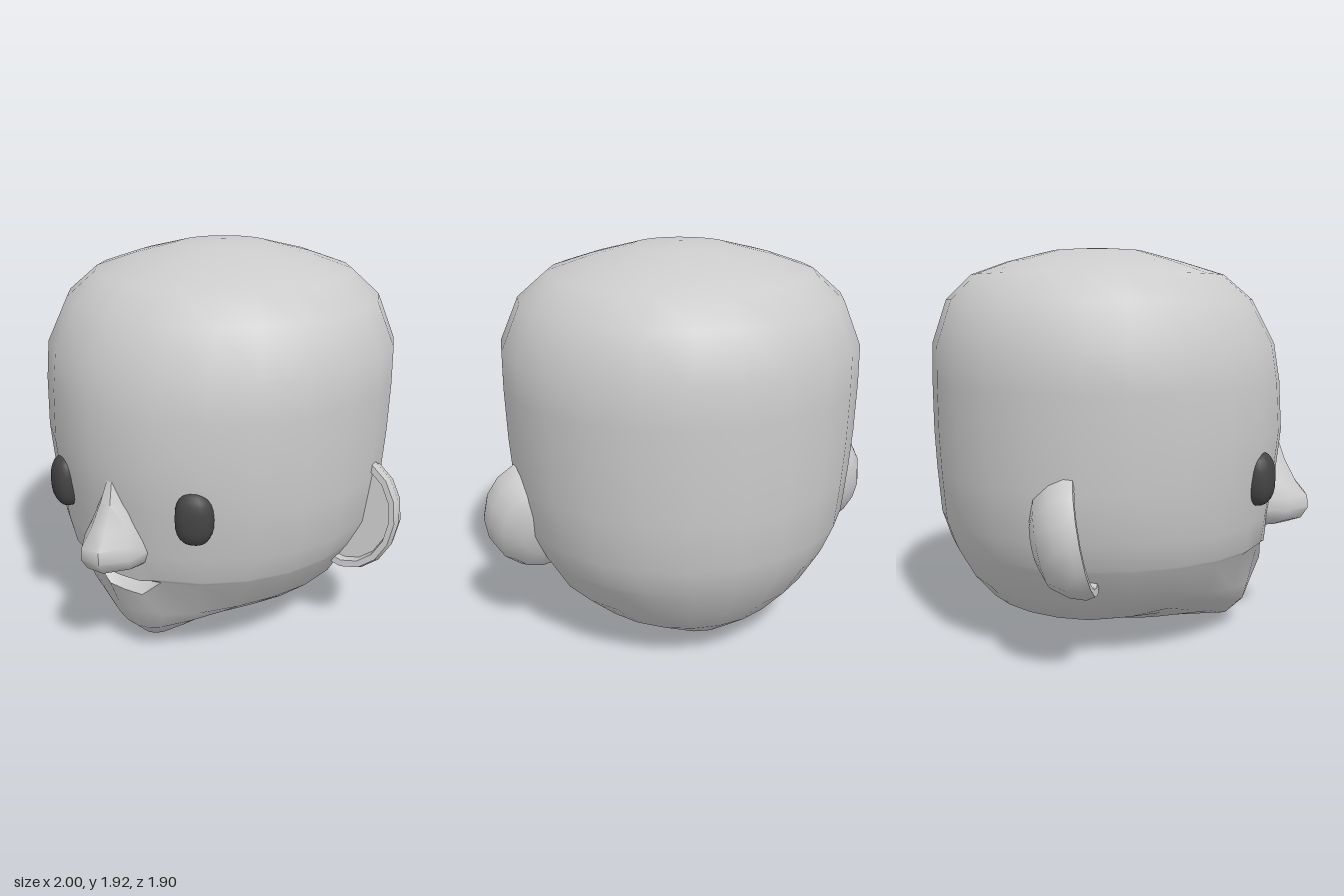
import * as THREE from 'three';
import { toCreasedNormals } from 'three/addons/utils/BufferGeometryUtils.js';

const grey = new THREE.MeshStandardMaterial({ color: 0xcccccc });
const dark = new THREE.MeshStandardMaterial({ color: 0x444444 });

// Skin a stack of rings (top to bottom), each a closed loop of [x, y, z] running from +z towards +x
function loft(rings, crease) {
  const n = rings[0].length, index = [];
  for (let i = 0; i < rings.length - 1; i++) {
    for (let j = 0; j < n; j++) {
      const k = (j + 1) % n;
      const a = i * n + j, b = a + n, c = (i + 1) * n + k, d = i * n + k;
      index.push(a, b, c, a, c, d);
    }
  }
  const geo = new THREE.BufferGeometry();
  geo.setAttribute('position', new THREE.Float32BufferAttribute(rings.flat(2), 3));
  geo.setIndex(index);
  return toCreasedNormals(geo, crease);
}

// Oval with separate front and back depths around z = cz
function oval(angles, w, front, back, cz, place) {
  return angles.map((t) => {
    const c = Math.cos(t);
    const p = [w * Math.sin(t), 0, cz + c * (c > 0 ? front - cz : cz - back)];
    place(p, t);
    return p;
  });
}

function mesh(name, geometry, material = grey) {
  const m = new THREE.Mesh(geometry, material);
  m.name = name;
  return m;
}

function headGeometry() {
  // 24 even angles plus two more at the middle of the mouth
  const deg = [0, 7.5];
  for (let a = 15; a < 360; a += 15) deg.push(a);
  deg.push(352.5);
  const angles = deg.map(THREE.MathUtils.degToRad);

  // y at side, half width, front z, back z, options
  const rows = [
    [1.925, 0, -0.12, -0.12],
    [1.91, 0.22, 0.10, -0.35],
    [1.855, 0.44, 0.30, -0.57],
    [1.79, 0.63, 0.51, -0.75],
    [1.67, 0.77, 0.65, -0.87],
    [1.46, 0.86, 0.76, -0.94],
    [1.28, 0.862, 0.79, -0.945],
    [1.04, 0.855, 0.805, -0.945],
    [0.85, 0.842, 0.785, -0.937],
    [0.62, 0.82, 0.75, -0.92],
    // mouth: upper lip, inner crease, lower lip
    [0.49, 0.76, 0.735, -0.88, { dip: 0.025 }],
    [0.48, 0.755, 0.73, -0.875, { dip: 0.055, push: 0.075 }],
    [0.465, 0.745, 0.715, -0.87, { dip: 0.085 }],
    // jaw and underside, sagging towards the middle
    [0.30, 0.65, 0.67, -0.79, { yf: 0.25, yb: 0.32, lift: 0.03 }],
    [0.17, 0.50, 0.635, -0.70, { yf: 0.14, yb: 0.20, lift: 0.07 }],
    [0.105, 0.31, 0.55, -0.58, { yf: 0.055, yb: 0.10, lift: 0.05 }],
    [0.045, 0.13, 0.25, -0.36, { yf: 0.03, yb: 0.05 }],
    [0.0, 0, -0.12, -0.12],
  ];
  return loft(rows.map(([y, w, zf, zb, o = {}]) =>
    oval(angles, w, zf, zb, -0.12, (p, t) => {
      const c = Math.cos(t);
      const end = (c > 0 ? o.yf : o.yb) ?? y;
      p[1] = y + (end - y) * c * c;
      if (c > 0) p[1] += (o.lift ?? 0) * Math.sin(2 * t) ** 2;
      if (c > 0.98) { // front middle only
        p[1] -= o.dip ?? 0;
        p[2] -= o.push ?? 0;
      }
    })), 0.9);
}

function noseGeometry() {
  const angles = Array.from({ length: 10 }, (_, i) => ((i + 0.5) / 10) * Math.PI * 2);
  // y, half width, front z
  const rows = [
    [0.98, 0, 0.66], [0.98, 0.04, 0.80], [0.87, 0.09, 0.84], [0.76, 0.13, 0.90],
    [0.69, 0.155, 0.96], [0.63, 0.17, 0.965], [0.575, 0.15, 0.93], [0.55, 0.12, 0.85], [0.55, 0, 0.66],
  ];
  return loft(rows.map(([y, w, zf]) =>
    oval(angles, w, zf, w ? 0.6 : 0.66, 0.66, (p) => { p[1] = y; })), 0.9);
}

// Squarish pebble
function eyeGeometry() {
  const geo = new THREE.SphereGeometry(1, 16, 12);
  const pos = geo.attributes.position;
  const bulge = (v) => Math.sign(v) * Math.abs(v) ** 0.8;
  for (let i = 0; i < pos.count; i++) {
    const [x, y, z] = [pos.getX(i), pos.getY(i), pos.getZ(i)].map(bulge);
    const r = Math.max(1, Math.hypot(x, y, z) / 1.1);
    pos.setXYZ(i, x / r, y / r, z / r);
  }
  geo.scale(0.088, 0.127, 0.072);
  geo.computeVertexNormals();
  return geo;
}

// Domed back, thin rim and a slightly sunken flat face
function earGeometry() {
  const profile = [
    [0, -0.23], [0.4, -0.22], [0.74, -0.18], [0.93, -0.1], [1, -0.03],
    [0.97, 0.01], [0.86, 0.01], [0.82, -0.025], [0, -0.025],
  ].map(([r, d]) => new THREE.Vector2(r, d));
  const geo = new THREE.LatheGeometry(profile, 16);
  geo.rotateX(Math.PI / 2);
  geo.scale(0.25, 0.29, 1);
  geo.rotateX(-0.18);
  return toCreasedNormals(geo, 0.7);
}

export function createModel() {
  const model = new THREE.Group();
  model.name = 'characterHead';
  model.add(mesh('head', headGeometry()), mesh('nose', noseGeometry()));

  const eye = eyeGeometry(), ear = earGeometry();
  for (const [side, s] of [['left', 1], ['right', -1]]) {
    const e = mesh(side + 'Eye', eye, dark);
    e.position.set(s * 0.375, 0.842, 0.672);
    e.rotation.y = s * 0.45;

    const r = mesh(side + 'Ear', ear);
    r.position.set(s * 0.75, 0.66, -0.11);
    model.add(e, r);
  }
  return model;
}
